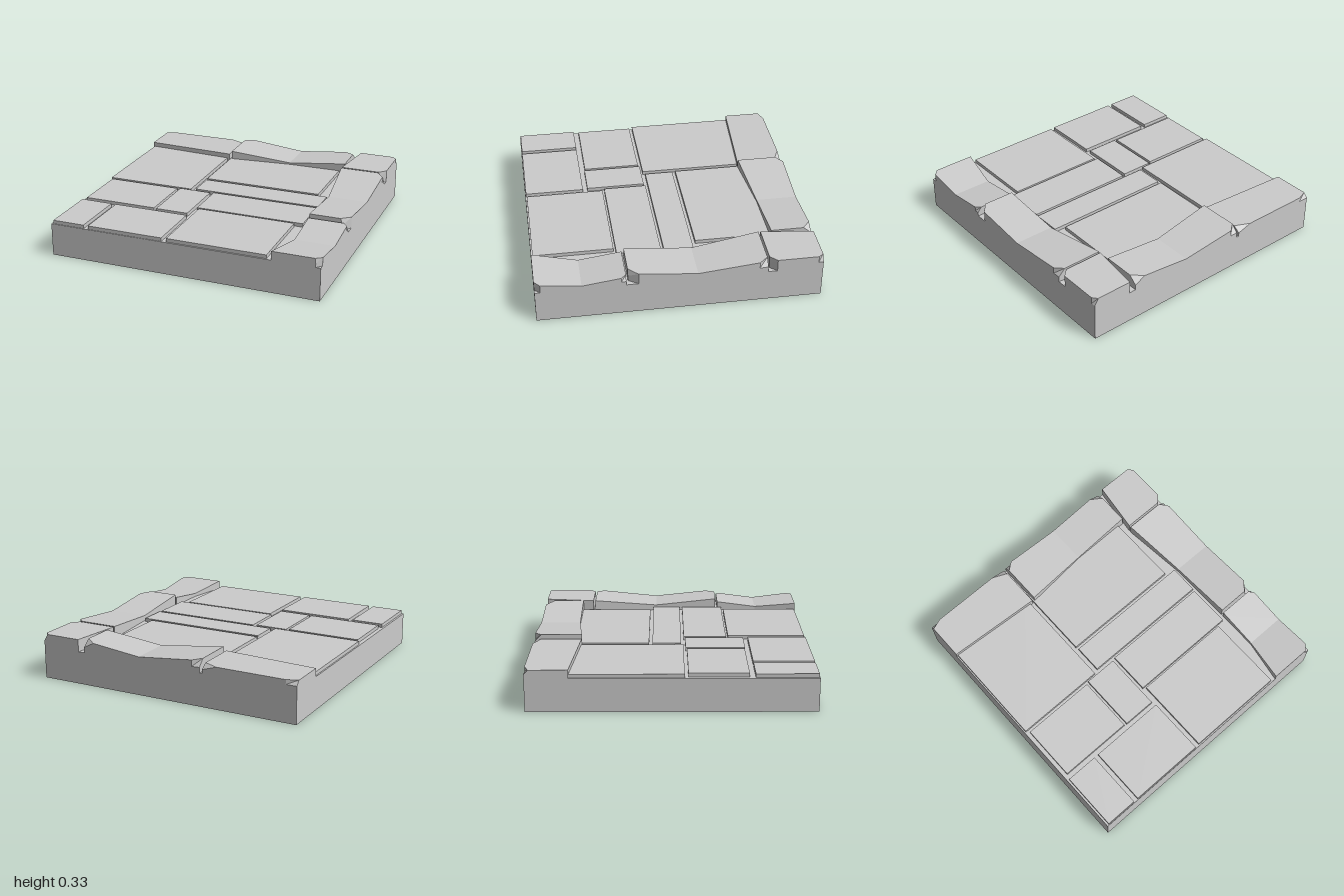
import * as THREE from 'three';

const FLOOR = 0.24;
const material = new THREE.MeshStandardMaterial({ color: 0xcccccc, flatShading: true });

function addMesh(group, geometry, name) {
  const mesh = new THREE.Mesh(geometry, material);
  mesh.name = name;
  group.add(mesh);
  return mesh;
}

// Kerb stone running along z with its outer face at x = 1.
// stations: [z, inner x, top y]; chips: { len, top, low } for the outer corner at each end.
function kerbGeometry(stations, startChip, endChip) {
  const between = (a, b, d) => {
    const k = d / Math.abs(b[0] - a[0]);
    return a.map((v, i) => v + (b[i] - v) * k);
  };
  const n = stations.length;
  const rows = [
    [stations[0], startChip],
    [between(stations[0], stations[1], startChip.len), null],
    ...stations.slice(1, -1).map((s) => [s, null]),
    [between(stations[n - 1], stations[n - 2], endChip.len), null],
    [stations[n - 1], endChip],
  ];
  const points = [];
  const index = [];
  const S = 5;
  for (const [[z, inner, top], chip] of rows) {
    const cutTop = chip ? chip.top : 0;
    const cutLow = chip ? chip.low : 0;
    const mid = FLOOR + (top - FLOOR) * 0.45;
    points.push(
      inner, FLOOR, z, inner, top, z, 1 - cutTop, top, z,
      1 - cutLow, mid, z, 1 - cutLow, FLOOR, z);
  }
  for (let i = 0; i < rows.length - 1; i++) {
    for (let j = 0; j < S; j++) {
      const a = i * S + j, b = i * S + (j + 1) % S;
      index.push(a, a + S, b + S, a, b + S, b);
    }
  }
  // End caps
  const last = (rows.length - 1) * S;
  for (let j = 1; j < S - 1; j++) {
    index.push(0, j, j + 1, last, last + j + 1, last + j);
  }
  const indexed = new THREE.BufferGeometry();
  indexed.setAttribute('position', new THREE.Float32BufferAttribute(points, 3));
  indexed.setIndex(index);
  const geometry = indexed.toNonIndexed();
  geometry.computeVertexNormals();
  return geometry;
}

export function createModel() {
  const model = new THREE.Group();
  model.name = 'stoneFloorCorner';

  // Solid base block
  addMesh(model, new THREE.BoxGeometry(2, FLOOR, 2), 'base').position.y = FLOOR / 2;

  // Thin paving slabs: x0, x1, z0, z1
  const slabs = [
    [-0.99, -0.32, -0.72, 0.085],
    [-0.29, 0.61, -0.74, -0.165],
    [-0.285, 0.685, -0.14, 0.07],
    [-0.97, -0.42, 0.11, 0.525],
    [-0.4, -0.155, 0.1, 0.53],
    [-0.13, 0.68, 0.09, 0.405],
    [-0.11, 0.62, 0.42, 0.99],
    [-0.985, -0.745, 0.565, 0.995],
    [-0.71, -0.145, 0.565, 0.995],
  ];
  const paving = new THREE.Group();
  paving.name = 'paving';
  model.add(paving);
  const slabHeight = 0.027;
  slabs.forEach(([x0, x1, z0, z1], i) => {
    const slab = addMesh(paving, new THREE.BoxGeometry(x1 - x0, slabHeight, z1 - z0), `slab${i + 1}`);
    slab.position.set((x0 + x1) / 2, FLOOR + slabHeight / 2, (z0 + z1) / 2);
  });

  // Raised, worn kerb stones along the +x side
  const small = { len: 0.035, top: 0.03, low: 0 };
  const deep = { len: 0.07, top: 0.06, low: 0.045 };
  const nick = { len: 0.04, top: 0.04, low: 0.035 };
  const bevel = { len: 0.06, top: 0.05, low: 0 };
  const sideKerb = new THREE.Group();
  sideKerb.name = 'sideKerb';
  model.add(sideKerb);
  addMesh(sideKerb, kerbGeometry(
    [[-1, 0.705, 0.33], [-0.625, 0.655, 0.33]], small, { len: 0.05, top: 0.05, low: 0.045 }), 'cornerStone');
  addMesh(sideKerb, kerbGeometry(
    [[-0.61, 0.655, 0.33], [-0.12, 0.705, 0.28], [0.36, 0.71, 0.33]], bevel, deep), 'middleSideStone');
  addMesh(sideKerb, kerbGeometry(
    [[0.375, 0.71, 0.305], [0.68, 0.71, 0.265], [1, 0.655, 0.305]], small, nick), 'frontSideStone');

  // Kerb stones along the back, turned so the outer face points to -z
  const backKerb = new THREE.Group();
  backKerb.name = 'backKerb';
  backKerb.rotation.y = Math.PI / 2;
  model.add(backKerb);
  addMesh(backKerb, kerbGeometry(
    [[-1, 0.7, 0.3], [-0.3, 0.655, 0.303]],
    { len: 0.08, top: 0.03, low: 0 }, { len: 0.11, top: 0.05, low: 0 }), 'rightBackStone');
  addMesh(backKerb, kerbGeometry(
    [[-0.28, 0.655, 0.33], [0.2, 0.7, 0.28], [0.655, 0.705, 0.33]],
    { len: 0.06, top: 0.05, low: 0 }, { len: 0.08, top: 0.06, low: 0 }), 'middleBackStone');

  return model;
}
